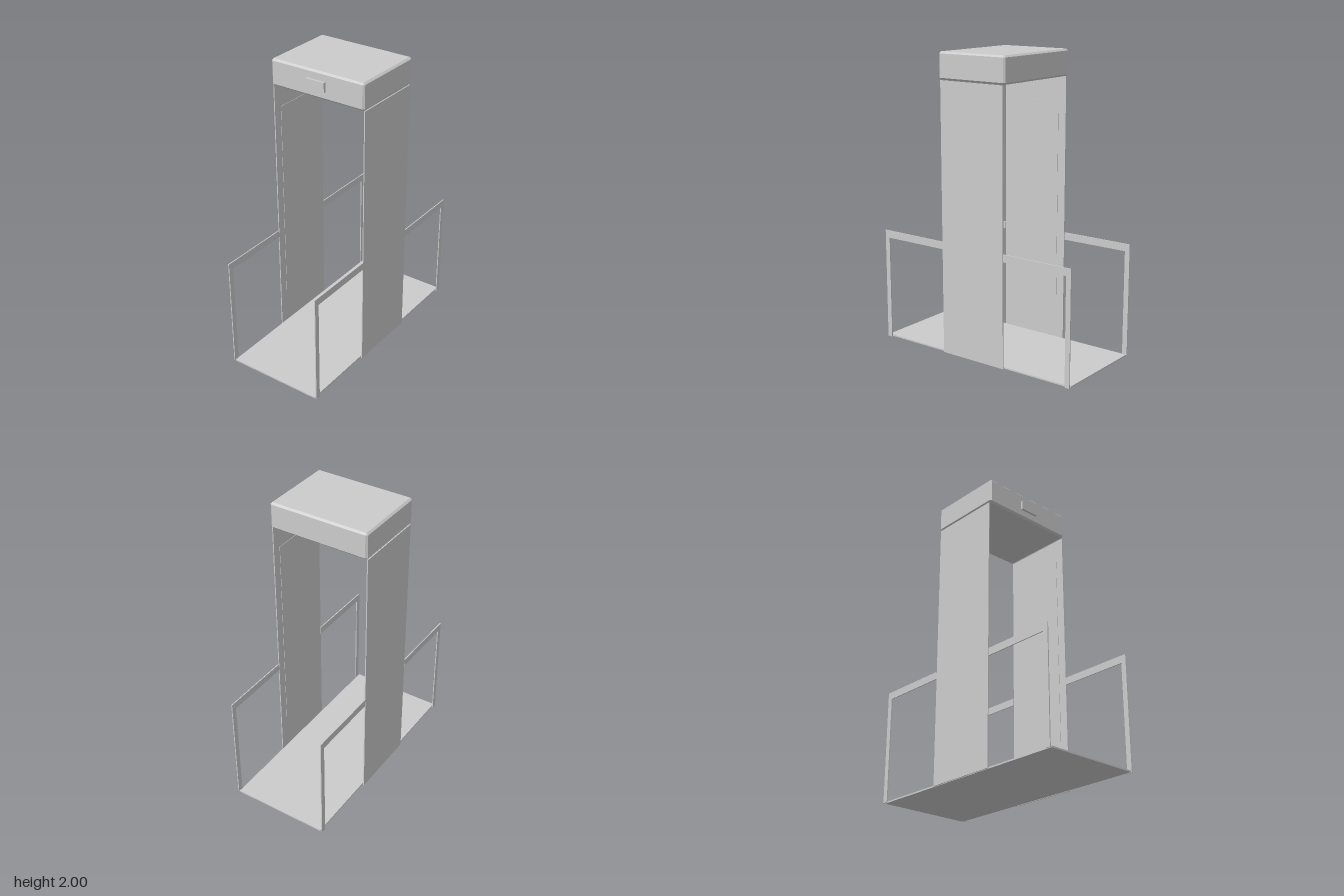
import * as THREE from 'three';
import { ConvexGeometry } from 'three/addons/geometries/ConvexGeometry.js';

const material = new THREE.MeshStandardMaterial({ color: 0xcccccc, flatShading: true });

function addMesh(parent, name, geometry, x = 0, y = 0, z = 0) {
  const mesh = new THREE.Mesh(geometry, material);
  mesh.name = name;
  mesh.position.set(x, y, z);
  parent.add(mesh);
  return mesh;
}

// Box with every edge cut by a flat chamfer
function chamferedBox(w, h, d, c) {
  const half = [w / 2, h / 2, d / 2];
  const points = [];
  for (const sx of [-1, 1]) for (const sy of [-1, 1]) for (const sz of [-1, 1]) {
    for (let axis = 0; axis < 3; axis++) {
      const p = half.map((v, i) => (i === axis ? v : v - c));
      points.push(new THREE.Vector3(sx * p[0], sy * p[1], sz * p[2]));
    }
  }
  return new ConvexGeometry(points);
}

// Bent handrail: a horizontal bar and a post, cut from one thin sheet
function railGeometry(thickness) {
  const outline = [[0.25, 0.765], [0.25, 0.715], [0.725, 0.715], [0.725, 0], [0.76, 0], [0.76, 0.765]];
  const shape = new THREE.Shape(outline.map(([z, y]) => new THREE.Vector2(z, y)));
  const geometry = new THREE.ExtrudeGeometry(shape, { depth: thickness, bevelEnabled: false });
  geometry.translate(0, 0, -thickness / 2);
  return geometry.rotateY(-Math.PI / 2);
}

export function createModel() {
  const model = new THREE.Group();
  model.name = 'walkThroughGate';
  const sheet = 0.007;
  const sideX = 0.3415;

  // Floor plate
  addMesh(model, 'floorPlate', new THREE.BoxGeometry(0.662, 0.01, 1.52), 0, 0.005, 0);

  // Overhead cabinet with its front display
  addMesh(model, 'overheadCabinet', chamferedBox(0.69, 0.177, 0.524, 0.012), 0, 1.9115, 0);
  addMesh(model, 'display', new THREE.BoxGeometry(0.134, 0.064, 0.017), 0, 1.91, 0.2695);

  // Side walls, inner plates and handrails, mirrored left and right
  const panel = new THREE.BoxGeometry(sheet, 1.82, 0.496);
  const plate = new THREE.BoxGeometry(0.003, 1.405, 0.38);
  const rail = railGeometry(sheet);
  for (const [side, label] of [[1, 'left'], [-1, 'right']]) {
    addMesh(model, label + 'Panel', panel, side * sideX, 0.91, 0);
    addMesh(model, label + 'InnerPlate', plate, side * (sideX - sheet / 2 - 0.001), 0.9525, 0);
    addMesh(model, label + 'FrontRail', rail, side * sideX);
    addMesh(model, label + 'BackRail', rail, side * sideX).rotation.y = Math.PI;
  }
  return model;
}
